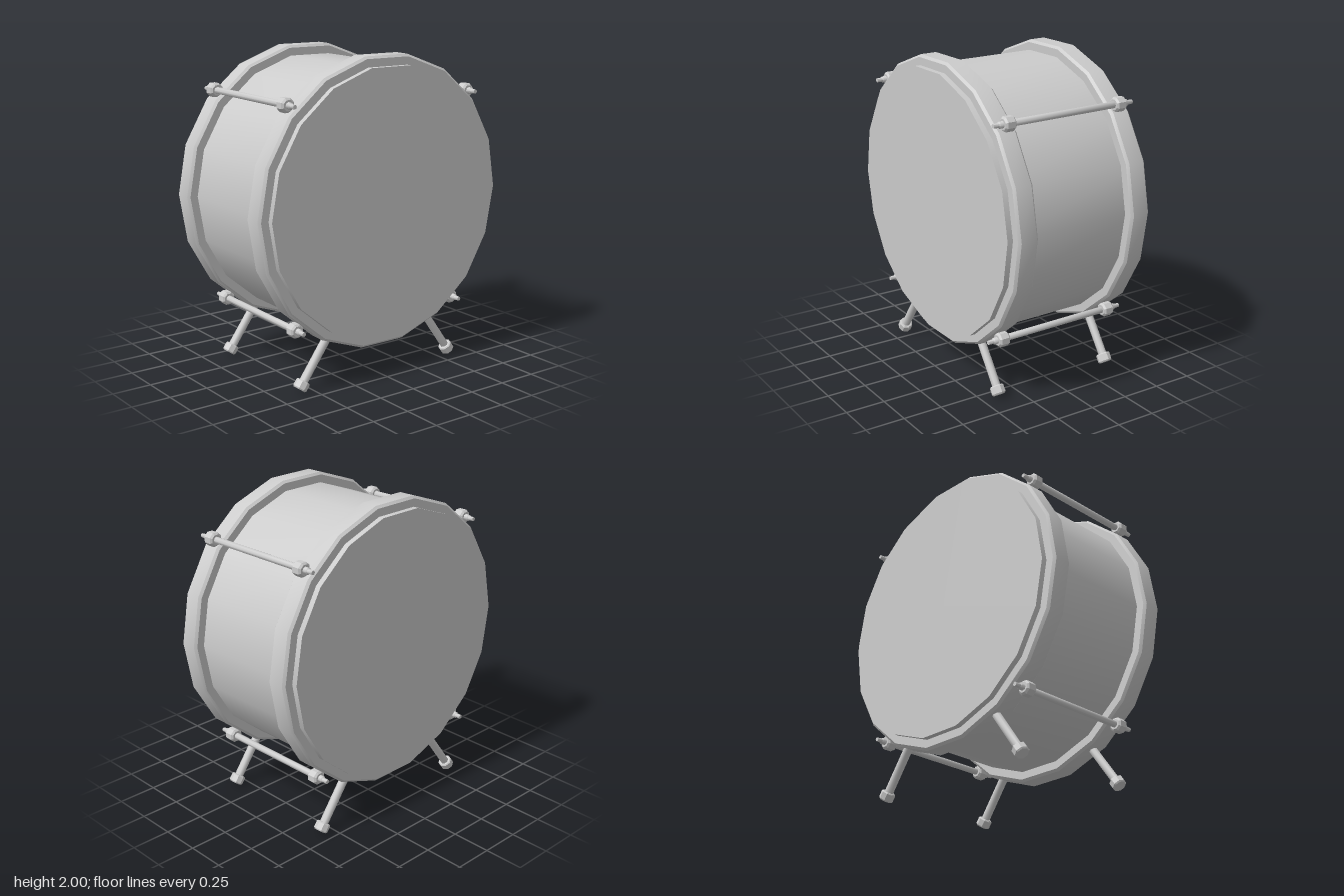
import * as THREE from 'three';
import { toCreasedNormals } from 'three/addons/utils/BufferGeometryUtils.js';

const material = new THREE.MeshStandardMaterial({ color: 0xcccccc });
const CENTER_Y = 1.11;

// Turned solid from [radius, height] pairs, listed from low to high
function turned(name, profile, sides, crease = 0.4) {
  const points = profile.map(([r, h]) => new THREE.Vector2(r, h));
  const geometry = new THREE.LatheGeometry(points, sides, Math.PI / 2);
  const mesh = new THREE.Mesh(toCreasedNormals(geometry, crease), material);
  mesh.name = name;
  return mesh;
}

// Same, with its axis running front to back
function turnedAlongZ(...args) {
  const mesh = turned(...args);
  mesh.geometry.rotateX(Math.PI / 2);
  return mesh;
}

// Rod with slim threaded tips and a chunky bevelled nut over each hoop
function createTensionRod(x, y) {
  const rod = new THREE.Group();
  rod.name = 'tensionRod';
  rod.add(turnedAlongZ('rodShaft', [
    [0, -0.49], [0.013, -0.49], [0.015, -0.455], [0.021, -0.45],
    [0.021, 0.45], [0.015, 0.455], [0.013, 0.49], [0, 0.49],
  ], 8, 0.9));
  for (const z of [-0.39, 0.39]) {
    const nut = turnedAlongZ('rodNut', [
      [0, -0.036], [0.034, -0.036], [0.046, -0.025],
      [0.046, 0.025], [0.034, 0.036], [0, 0.036],
    ], 8);
    nut.geometry.rotateZ(Math.PI / 8);
    nut.position.z = z;
    rod.add(nut);
  }
  rod.position.set(x, y - CENTER_Y, 0);
  return rod;
}

// Splayed leg: built upward from the foot, then leaned into the shell
function createLeg(side, z) {
  const leg = new THREE.Group();
  leg.name = 'leg';
  const foot = new THREE.Vector3(side * 0.592, 0.028, z);
  const top = new THREE.Vector3(side * 0.345, 0.37, z);
  const length = foot.distanceTo(top);
  leg.add(
    turned('legTube', [[0, 0.03], [0.027, 0.03], [0.027, length], [0, length]], 8, 0.9),
    turned('legFoot', [
      [0, 0], [0.038, 0], [0.045, 0.008], [0.045, 0.05], [0.038, 0.057], [0, 0.057],
    ], 8),
  );
  leg.position.copy(foot);
  leg.quaternion.setFromUnitVectors(new THREE.Vector3(0, 1, 0), top.sub(foot).normalize());
  return leg;
}

export function createModel() {
  const model = new THREE.Group();
  model.name = 'bassDrum';

  // Drum body, leaning very slightly forward
  const body = new THREE.Group();
  body.name = 'drumBody';
  body.position.y = CENTER_Y;
  body.rotation.x = 0.013;
  model.add(body);

  // Closed shell with both heads
  body.add(turnedAlongZ('shell', [
    [0, -0.503], [0.84, -0.503], [0.84, 0.503], [0, 0.503],
  ], 18));

  // Bevelled hoops
  for (const z of [-0.4, 0.4]) {
    const hoop = turnedAlongZ('hoop', [
      [0.82, -0.067], [0.89, -0.067], [0.905, -0.052],
      [0.905, 0.052], [0.89, 0.067], [0.82, 0.067],
    ], 18);
    hoop.position.z = z;
    body.add(hoop);
  }

  // Tension rods around the shell
  for (const [x, y] of [[0.685, 1.74], [-0.675, 1.752], [0.602, 0.402], [-0.612, 0.405]]) {
    body.add(createTensionRod(x, y));
  }

  // Four legs
  for (const side of [-1, 1]) {
    for (const z of [0.395, -0.42]) model.add(createLeg(side, z));
  }
  return model;
}
